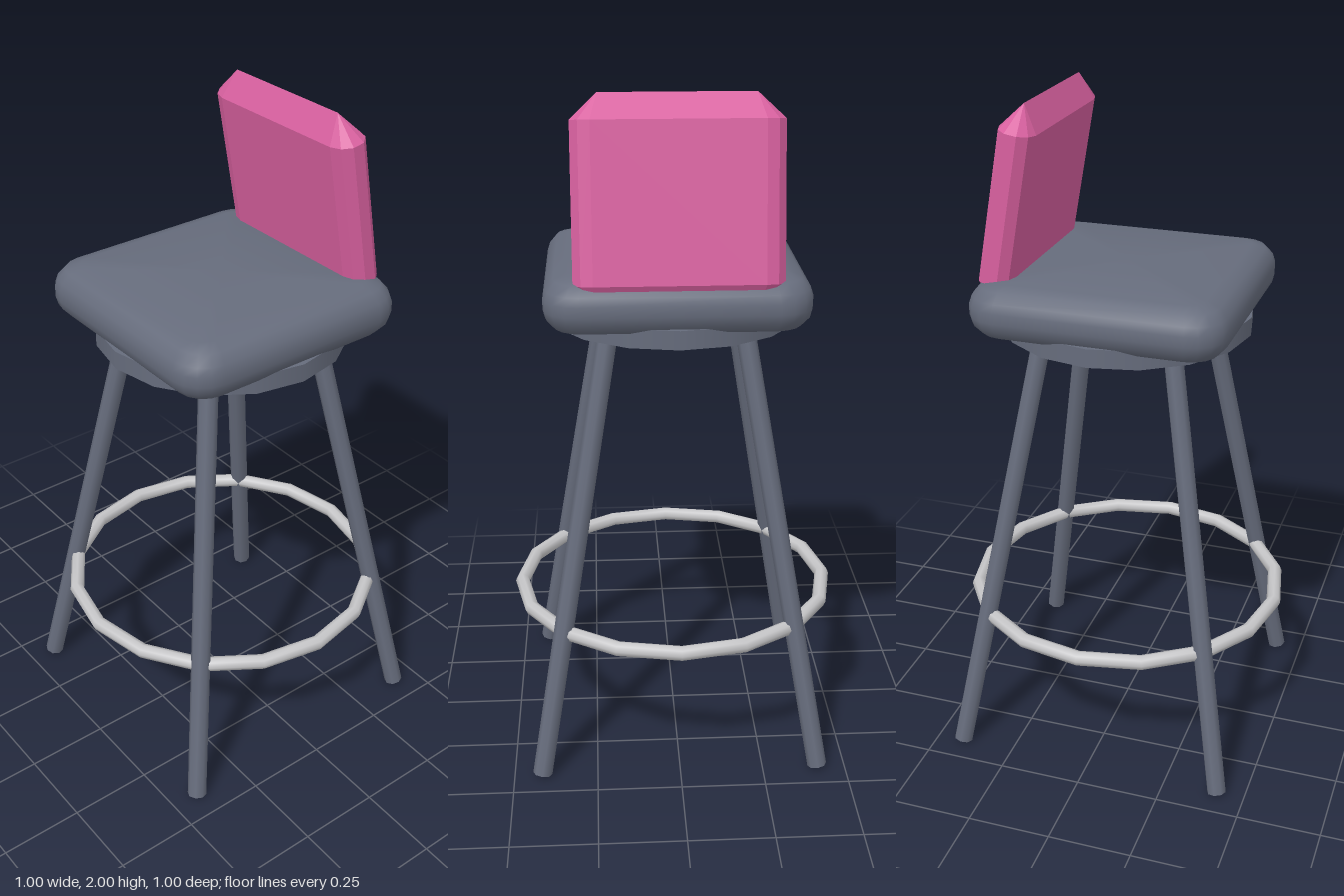
import * as THREE from 'three';
import { toCreasedNormals } from 'three/addons/utils/BufferGeometryUtils.js';
import { ConvexGeometry } from 'three/addons/geometries/ConvexGeometry.js';

const slate = new THREE.MeshStandardMaterial({ color: 0x666c7c });
slate.name = 'slate';
const pink = new THREE.MeshStandardMaterial({ color: 0xd8609f });
pink.name = 'pink';
const silver = new THREE.MeshStandardMaterial({ color: 0xc6c6c8 });
silver.name = 'silver';

function part(name, geometry, material) {
  const mesh = new THREE.Mesh(geometry, material);
  mesh.name = name;
  return mesh;
}

// Round-cornered square outline, running from +x towards +z
function roundedSquare(half, radius, steps = 4) {
  const points = [];
  for (let c = 0; c < 4; c++) {
    const mid = Math.PI / 4 + c * Math.PI / 2;
    const cx = Math.sign(Math.cos(mid)) * (half - radius);
    const cz = Math.sign(Math.sin(mid)) * (half - radius);
    for (let i = 0; i <= steps; i++) {
      const a = c * Math.PI / 2 + (i / steps) * Math.PI / 2;
      points.push([cx + radius * Math.cos(a), cz + radius * Math.sin(a)]);
    }
  }
  return points;
}

// Cushion lofted through outlines, closed by a fan at each end
function cushionGeometry() {
  const profile = [ // inset, height
    [0.07, 1.355], [0.03, 1.367], [0.006, 1.395], [0, 1.42],
    [0, 1.45], [0.008, 1.475], [0.03, 1.502], [0.07, 1.514],
  ];
  const positions = [], index = [];
  for (const [inset, y] of profile) {
    for (const [x, z] of roundedSquare(0.375 - inset, 0.1 - inset * 0.7)) positions.push(x, y, z);
  }
  const n = positions.length / 3 / profile.length;
  const last = (profile.length - 1) * n;
  const bottom = positions.length / 3, top = bottom + 1;
  positions.push(0, 1.355, 0, 0, 1.517, 0);
  for (let i = 0; i < n; i++) {
    const j = (i + 1) % n;
    for (let r = 0; r < last; r += n) {
      index.push(r + i, r + n + i, r + j, r + j, r + n + i, r + n + j);
    }
    index.push(bottom, i, j, top, last + j, last + i);
  }
  const geometry = new THREE.BufferGeometry();
  geometry.setAttribute('position', new THREE.Float32BufferAttribute(positions, 3));
  geometry.setIndex(index);
  return toCreasedNormals(geometry, 0.75);
}

// Slab with bevelled sides, rising to a ridge at both ends
function backrestGeometry() {
  const points = [];
  for (const sx of [-1, 1]) {
    for (const sy of [-1, 1]) {
      points.push(new THREE.Vector3(sx * 0.215, sy * 0.292, 0));
      for (const sz of [-1, 1]) {
        for (const [x, z] of [[0.235, 0.054], [0.268, 0.044], [0.29, 0.018]]) {
          points.push(new THREE.Vector3(sx * x, sy * 0.22, sz * z));
        }
      }
    }
  }
  return new ConvexGeometry(points);
}

export function createModel() {
  const stool = new THREE.Group();
  stool.name = 'barStool';

  stool.add(part('seat', cushionGeometry(), slate));

  const backrest = part('backrest', backrestGeometry(), pink);
  backrest.position.set(0, 1.712, -0.273);
  backrest.rotation.x = 0.175;
  stool.add(backrest);

  // Round plate under the seat
  const plate = part('seatPlate', new THREE.CylinderGeometry(0.372, 0.372, 0.055, 16), slate);
  plate.position.y = 1.353;
  stool.add(plate);

  // Four splayed legs
  const up = new THREE.Vector3(0, 1, 0);
  for (const sx of [-1, 1]) {
    for (const sz of [-1, 1]) {
      const foot = new THREE.Vector3(sx * 0.416, 0.007, sz * 0.416);
      const head = new THREE.Vector3(sx * 0.19, 1.36, sz * 0.19);
      const axis = head.clone().sub(foot);
      const leg = part('leg', new THREE.CylinderGeometry(0.029, 0.029, axis.length(), 8), slate);
      leg.position.copy(foot).add(head).multiplyScalar(0.5);
      leg.quaternion.setFromUnitVectors(up, axis.normalize());
      stool.add(leg);
    }
  }

  const footRing = part('footRing', new THREE.TorusGeometry(0.478, 0.022, 8, 16), silver);
  footRing.rotation.x = Math.PI / 2;
  footRing.position.y = 0.443;
  stool.add(footRing);

  return stool;
}
